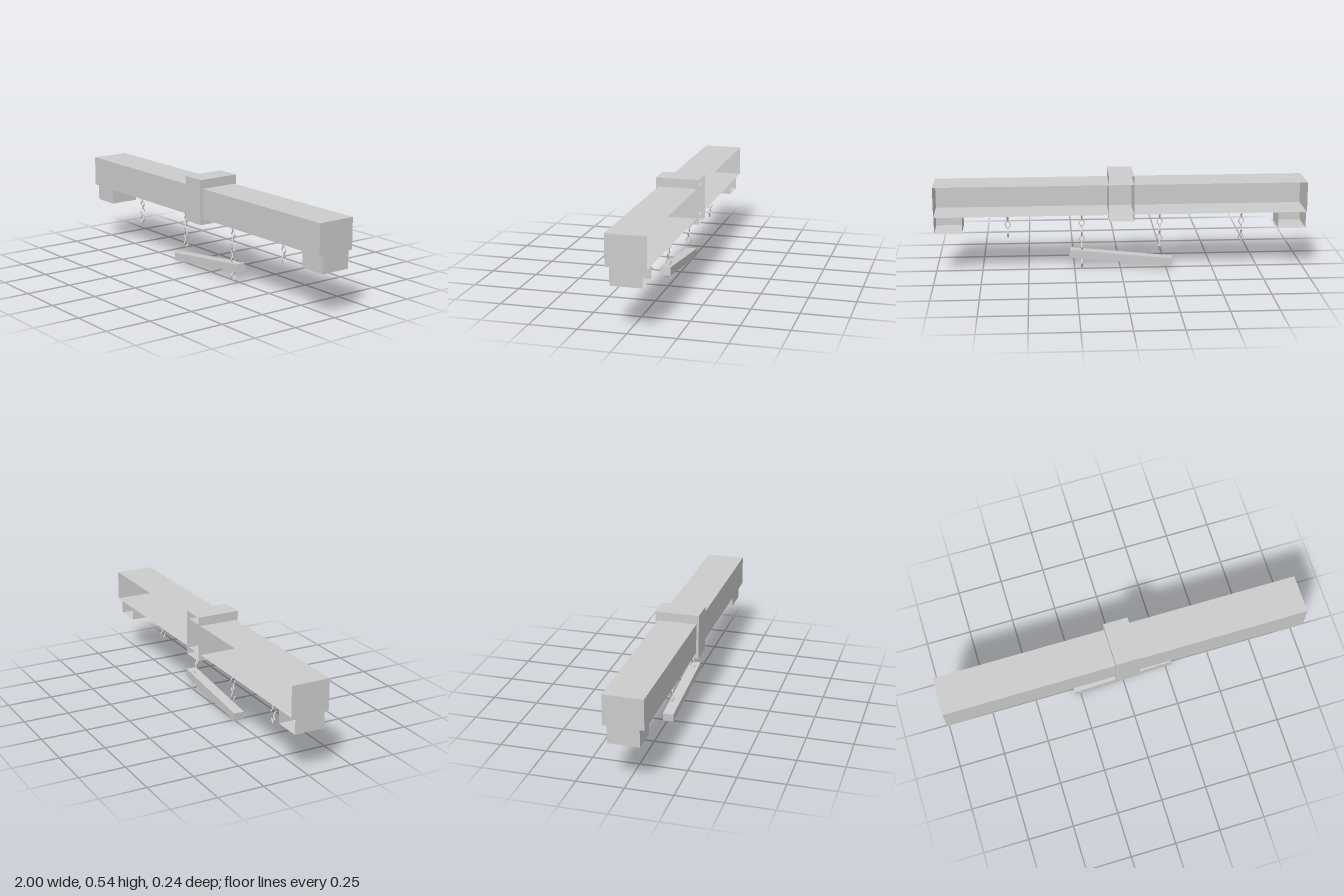
import * as THREE from 'three';

const material = new THREE.MeshStandardMaterial({
  color: 0xcccccc, flatShading: true, side: THREE.DoubleSide,
});

function addMesh(parent, name, geometry, x, y, z) {
  const mesh = new THREE.Mesh(geometry, material);
  mesh.name = name;
  mesh.position.set(x, y, z);
  parent.add(mesh);
  return mesh;
}

// Box without its rear wall, which would sit against a building
function openBackBox(width, height, depth) {
  const geometry = new THREE.BoxGeometry(width, height, depth);
  geometry.setIndex(Array.from(geometry.index.array).slice(0, 30));
  geometry.clearGroups();
  return geometry;
}

// Hanging chain of diamond links, each turned a quarter from the last
function addChain(parent, name, x, z, count) {
  const chain = new THREE.Group();
  chain.name = name;
  chain.position.set(x, 0.302, z);
  const link = new THREE.TorusGeometry(0.0255, 0.0045, 4, 4);
  link.scale(0.6, 1, 1);
  for (let i = 0; i < count; i++) {
    const mesh = addMesh(chain, 'chainLink', link, 0, -i * 0.0453, 0);
    mesh.rotation.y = i % 2 ? 0 : Math.PI / 2;
  }
  parent.add(chain);
}

export function createModel() {
  const model = new THREE.Group();
  model.name = 'lintelWithChains';

  // Long beam and the keystone block around its middle
  addMesh(model, 'beam', openBackBox(2, 0.164, 0.211), 0, 0.41, 0);
  addMesh(model, 'keystone', openBackBox(0.134, 0.246, 0.238), 0, 0.418, 0);

  // Supports under both ends
  for (const side of [-1, 1]) {
    addMesh(model, side > 0 ? 'leftSupport' : 'rightSupport',
      openBackBox(0.15, 0.093, 0.165), side * 0.925, 0.2815, 0);
  }

  // Crooked plank carried by the two middle chains
  const plank = addMesh(model, 'hangingPlank',
    new THREE.BoxGeometry(0.562, 0.044, 0.058), -0.002, 0.0605, 0.011);
  plank.rotation.z = 0.104;

  // Chains of differing length
  addChain(model, 'outerRightChain', -0.66, -0.001, 4);
  addChain(model, 'innerRightChain', -0.214, 0.011, 5);
  addChain(model, 'innerLeftChain', 0.21, 0.011, 7);
  addChain(model, 'outerLeftChain', 0.61, -0.001, 3);

  return model;
}
